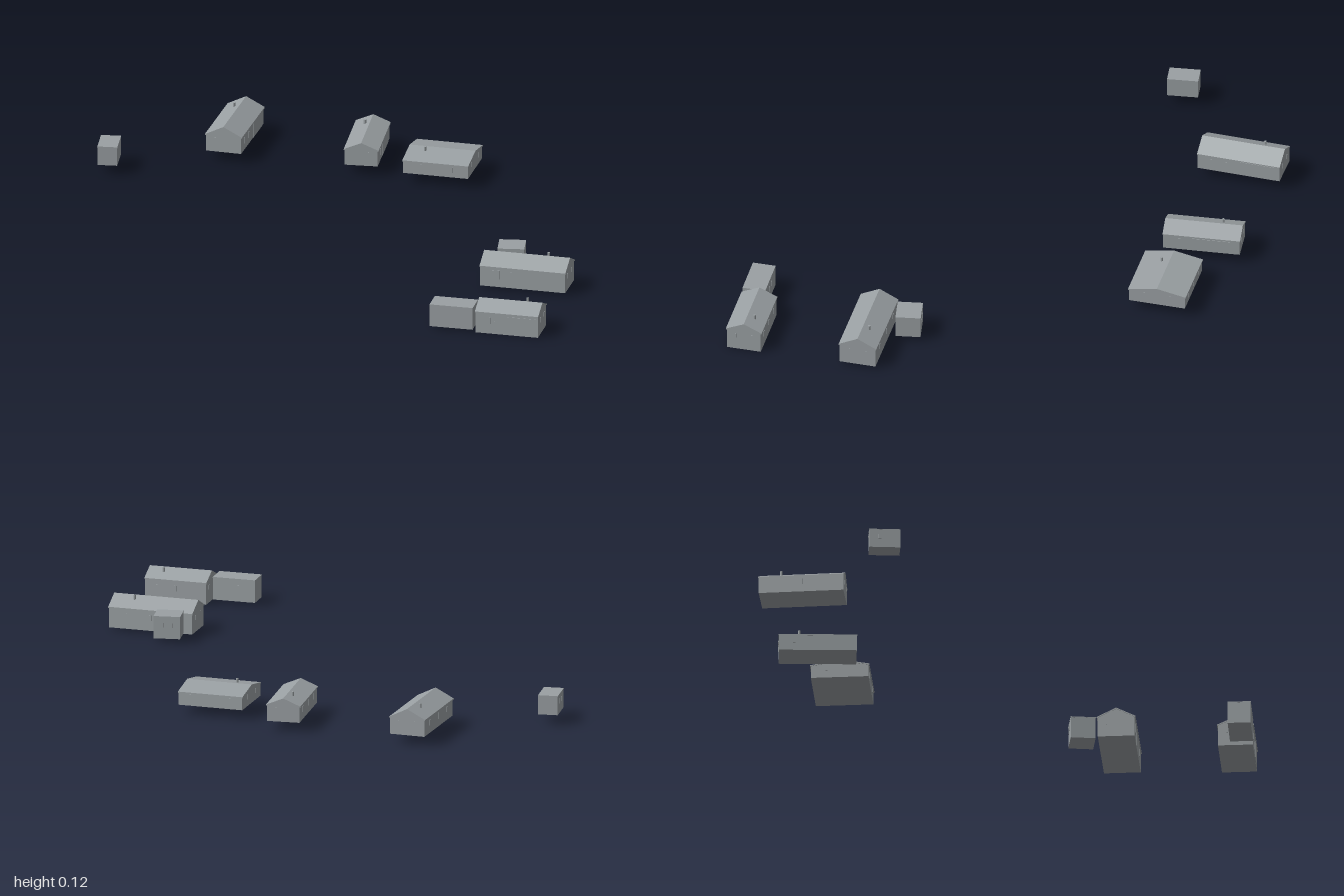
import * as THREE from 'three';

const grey = new THREE.MeshStandardMaterial({ color: 0x9aa0a3 });
grey.name = 'concrete grey';

function box(parent, name, w, h, d, x, y, z) {
  const mesh = new THREE.Mesh(new THREE.BoxGeometry(w, h, d), grey);
  mesh.name = name;
  mesh.position.set(x, y, z);
  parent.add(mesh);
  return mesh;
}

// Extrudes an outline drawn across the building along its ridge (local x)
function alongRidge(parent, name, points, length) {
  const shape = new THREE.Shape(points.map(([a, b]) => new THREE.Vector2(a, b)));
  const geo = new THREE.ExtrudeGeometry(shape, { depth: length, bevelEnabled: false });
  geo.translate(0, 0, -length / 2);
  geo.rotateY(Math.PI / 2);
  const mesh = new THREE.Mesh(geo, grey);
  mesh.name = name;
  parent.add(mesh);
}

// Thin panels on one wall: [position along wall, centre height, width, height]
function panels(parent, name, list, wall, turn) {
  const holder = new THREE.Group();
  holder.name = name + 's';
  holder.rotation.y = turn;
  for (const [a, y, w, h] of list) box(holder, name, w, h, 0.003, a, y, wall);
  parent.add(holder);
}

// Building with a pitched roof; its ridge runs along local x, its front faces local +z
function gabledHouse(name, o) {
  const g = new THREE.Group();
  g.name = name;
  g.position.set(o.x, o.base, o.z);
  g.rotation.y = o.turn;
  const eave = o.eave - o.base, ridge = o.ridge - o.base;
  const half = o.width / 2, wall = half - 0.003, t = 0.004;
  const wallLength = o.length - 0.003;
  const slope = (ridge - eave) / half;

  alongRidge(g, 'walls', [[-wall, 0], [wall, 0], [wall, eave - t / 2], [0, ridge - t / 2], [-wall, eave - t / 2]], wallLength);
  alongRidge(g, 'roof', [[-half, eave - t], [0, ridge - t], [half, eave - t], [half, eave], [0, ridge], [-half, eave]], o.length);

  // Flue and ridge vent
  const [fx, fz] = o.flue;
  const flueFoot = ridge - Math.abs(fz) * slope;
  const flue = new THREE.Mesh(new THREE.CylinderGeometry(0.004, 0.004, 0.02, 8), grey);
  flue.name = 'flue';
  flue.position.set(fx, flueFoot + 0.003, fz);
  g.add(flue);

  // Openings on all sides
  panels(g, 'front panel', o.front, wall, 0);
  panels(g, 'back window', [-0.3, 0, 0.3].map(f => [f * o.length, eave * 0.62, 0.008, 0.018]), wall, Math.PI);
  const ends = [[-o.width * 0.22, eave * 0.7, 0.006, 0.015], [o.width * 0.22, eave * 0.7, 0.006, 0.015]];
  panels(g, 'end window', ends, wallLength / 2, Math.PI / 2);
  panels(g, 'end window', ends, wallLength / 2, -Math.PI / 2);
  return g;
}

// Flat-roofed block with a door and a window
function flatBlock(name, x, z, turn, length, width, base, top) {
  const g = new THREE.Group();
  g.name = name;
  g.position.set(x, base, z);
  g.rotation.y = turn;
  const h = top - base;
  box(g, 'walls', length, h - 0.003, width, 0, (h - 0.003) / 2, 0);
  box(g, 'flat roof', length + 0.001, 0.003, width + 0.001, 0, h - 0.0015, 0);
  panels(g, 'back window', [[-0.015, h * 0.6, 0.008, 0.015], [0.015, h * 0.6, 0.008, 0.015]], width / 2, Math.PI);
  return g;
}

export function createModel() {
  const model = new THREE.Group();
  model.name = 'buildings';

  // Gabled buildings behind
  model.add(gabledHouse('backHall', {
    x: -0.082, z: -0.857, turn: 0.911, length: 0.268, width: 0.12, base: 0.03, eave: 0.085, ridge: 0.115,
    flue: [0.065, -0.02],
    front: [[0.06, 0.025, 0.11, 0.048], [-0.04, 0.03, 0.008, 0.02], [-0.09, 0.03, 0.008, 0.02]],
  }));
  model.add(gabledHouse('middleHall', {
    x: 0.254, z: -0.589, turn: 1.025, length: 0.245, width: 0.11, base: 0.03, eave: 0.083, ridge: 0.106,
    flue: [0.058, -0.016],
    front: [[0.03, 0.023, 0.12, 0.044], [-0.07, 0.03, 0.008, 0.02]],
  }));
  model.add(gabledHouse('wideHall', {
    x: 0.426, z: -0.39, turn: -0.64, length: 0.212, width: 0.186, base: 0.03, eave: 0.073, ridge: 0.09,
    flue: [-0.05, 0.025],
    front: [[-0.05, 0.025, 0.012, 0.02], [0.05, 0.025, 0.012, 0.02]],
  }));

  // Gabled buildings in front
  model.add(gabledHouse('frontHall', {
    x: 0.318, z: 0.564, turn: -0.636, length: 0.276, width: 0.121, base: 0.008, eave: 0.075, ridge: 0.105,
    flue: [0.065, -0.019],
    front: [[-0.04, 0.03, 0.008, 0.045], [0.087, 0.043, 0.006, 0.024], [-0.09, 0.04, 0.03, 0.03]],
  }));
  model.add(gabledHouse('garage', {
    x: 0.132, z: 0.882, turn: -0.628, length: 0.203, width: 0.115, base: 0, eave: 0.071, ridge: 0.097,
    flue: [0.049, -0.022],
    front: [[0.048, 0.033, 0.09, 0.055], [-0.066, 0.044, 0.004, 0.022], [-0.053, 0.044, 0.004, 0.022], [-0.038, 0.026, 0.004, 0.03]],
  }));

  // Small flat-roofed blocks
  model.add(flatBlock('shed', -0.516, -0.831, 1.058, 0.097, 0.062, 0.03, 0.092));
  model.add(flatBlock('frontHallAnnex', 0.322, 0.429, -0.47, 0.083, 0.078, 0.014, 0.086));
  model.add(flatBlock('garageAnnex', -0.024, 0.794, -0.62, 0.137, 0.072, 0.008, 0.081));

  return model;
}
